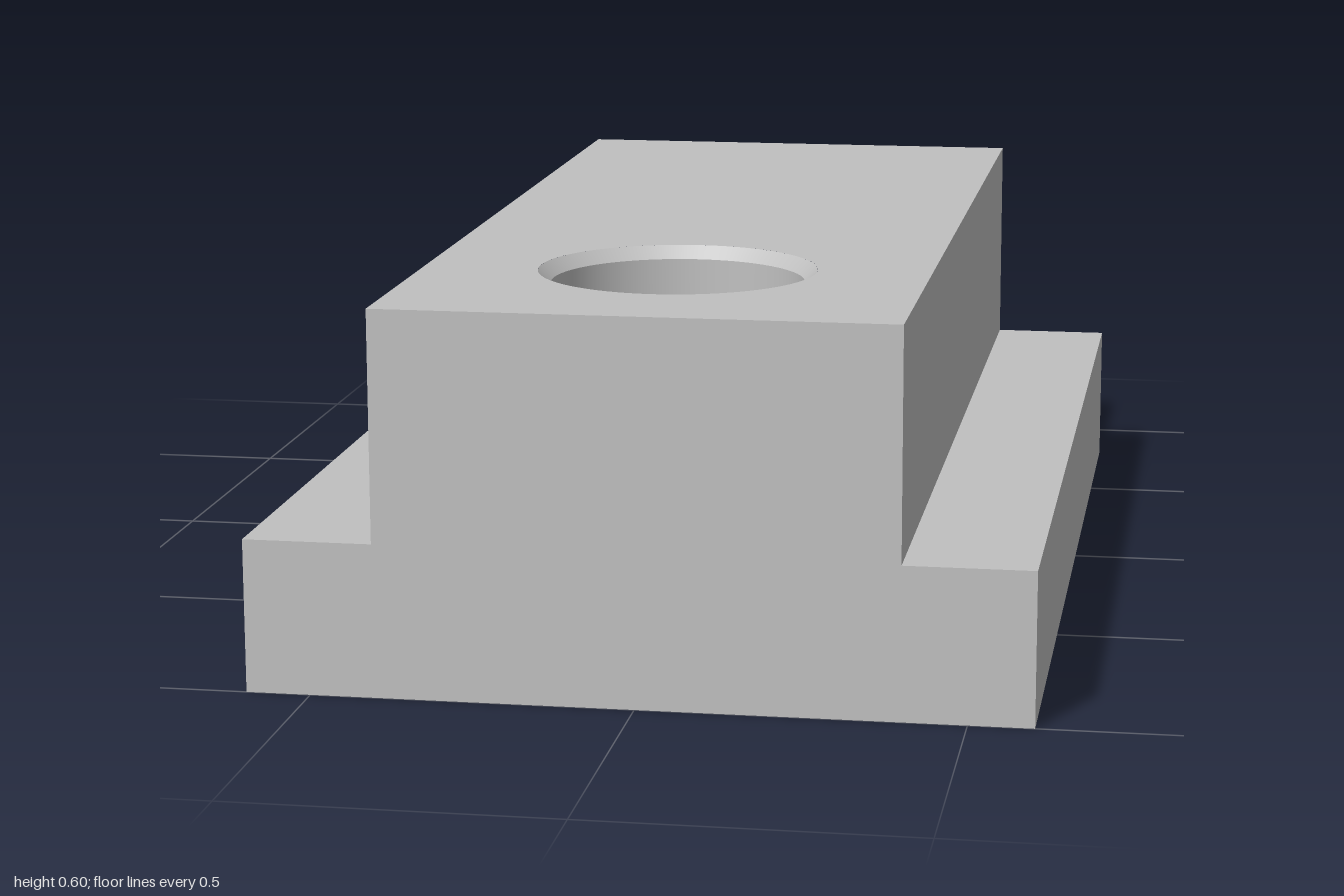
import * as THREE from 'three';

const SEGMENTS = 64;

// Turned surface with a crisp edge at every profile point
function turned(name, profile, material) {
  const group = new THREE.Group();
  group.name = name;
  for (let i = 0; i < profile.length - 1; i++) {
    const pts = [profile[i], profile[i + 1]].map(([r, y]) => new THREE.Vector2(r, y));
    const mesh = new THREE.Mesh(new THREE.LatheGeometry(pts, SEGMENTS), material);
    mesh.name = `${name}Surface${i + 1}`;
    group.add(mesh);
  }
  return group;
}

// Drop the triangles lying flat at height y
function removeFlatFace(geometry, y) {
  const p = geometry.attributes.position;
  const kept = [];
  for (let i = 0; i < p.count; i += 3) {
    const flat = [0, 1, 2].every((k) => Math.abs(p.getY(i + k) - y) < 1e-5);
    if (flat) continue;
    for (let k = 0; k < 3; k++) kept.push(p.getX(i + k), p.getY(i + k), p.getZ(i + k));
  }
  const out = new THREE.BufferGeometry();
  out.setAttribute('position', new THREE.Float32BufferAttribute(kept, 3));
  out.computeVertexNormals();
  return out;
}

export function createModel() {
  const model = new THREE.Group();
  model.name = 'slidingBlock';
  const metal = new THREE.MeshStandardMaterial({ color: 0xc0c0c0 });
  metal.name = 'light grey metal';

  const top = 0.6, back = -0.8, front = 1, holeZ = 0.6;

  // Stepped body, open at the top
  const section = new THREE.Shape([
    [-0.6, 0], [0.6, 0], [0.6, 0.24], [0.4, 0.24],
    [0.4, top], [-0.4, top], [-0.4, 0.24], [-0.6, 0.24],
  ].map(([x, y]) => new THREE.Vector2(x, y)));
  const bodyGeometry = new THREE.ExtrudeGeometry(section, { depth: front - back, bevelEnabled: false });
  bodyGeometry.translate(0, 0, back);
  const body = new THREE.Mesh(removeFlatFace(bodyGeometry, top), metal);
  body.name = 'body';
  model.add(body);

  // Top face with the round opening
  const face = new THREE.Shape([
    [-0.4, -front], [0.4, -front], [0.4, -back], [-0.4, -back],
  ].map(([x, y]) => new THREE.Vector2(x, y)));
  face.holes.push(new THREE.Path().absarc(0, -holeZ, 0.22, 0, Math.PI * 2, true));
  const topFace = new THREE.Mesh(new THREE.ShapeGeometry(face, SEGMENTS), metal);
  topFace.name = 'topFace';
  topFace.rotation.x = -Math.PI / 2;
  topFace.position.y = top;
  model.add(topFace);

  // Blind hole: chamfer, wall and floor
  const hole = turned('hole', [[0.22, top], [0.2, top - 0.02], [0.2, 0.2], [0, 0.2]], metal);
  hole.position.z = holeZ;
  model.add(hole);

  // Blunt cone on the back
  const cone = turned('backCone', [[0.25, 0], [0.05, 0.2], [0, 0.2]], metal);
  cone.rotation.x = -Math.PI / 2;
  cone.position.set(0, 0.3, back);
  model.add(cone);

  return model;
}
